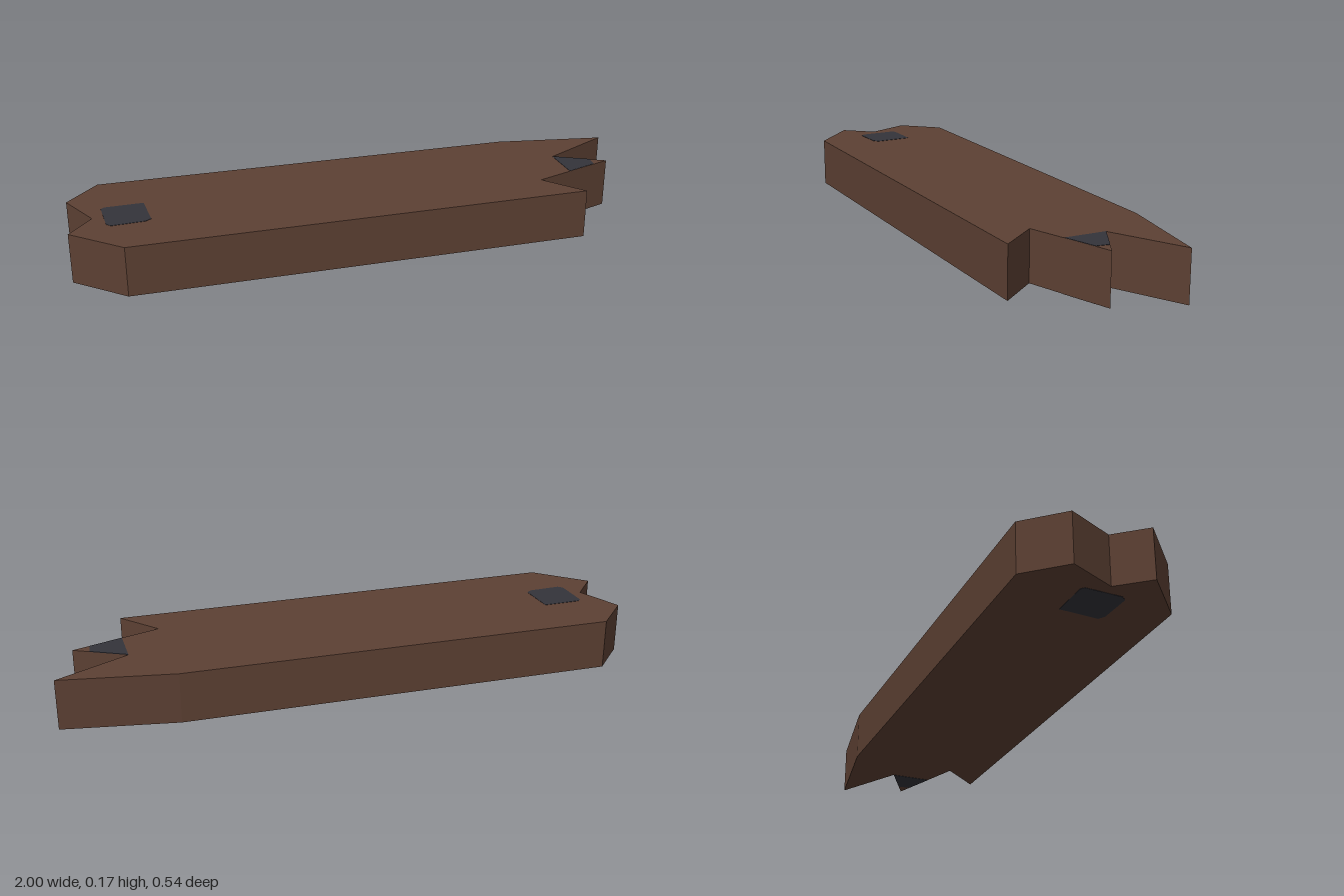
import * as THREE from 'three';

const HEIGHT = 0.172;

// Footprints as [x, z] corners
const OUTLINE = [
  [-0.84, 0.25], [0.73, 0.272], [0.62, 0.138], [0.92, 0.043], [0.75, -0.048], [1, -0.173],
  [0.62, -0.243], [-0.87, -0.272], [-0.985, -0.15], [-0.915, 0.005], [-1, 0.103],
];
const LEFT_NAIL = [
  [-0.862, 0.08], [-0.75, 0.076], [-0.73, 0.063], [-0.737, -0.07], [-0.868, -0.07], [-0.88, -0.06], [-0.876, 0.064],
];
const RIGHT_NAIL = [[0.75, 0.096], [0.862, 0.06], [0.868, 0.015], [0.75, -0.048]];

// Extrudes a footprint upward from the given height
function slab(name, corners, y, thickness, material) {
  const shape = new THREE.Shape(corners.map(([x, z]) => new THREE.Vector2(x, -z)));
  const geometry = new THREE.ExtrudeGeometry(shape, { depth: thickness, bevelEnabled: false });
  geometry.rotateX(-Math.PI / 2);
  geometry.translate(0, y, 0);
  const mesh = new THREE.Mesh(geometry, material);
  mesh.name = name;
  return mesh;
}

export function createModel() {
  const wood = new THREE.MeshStandardMaterial({ name: 'dark wood', color: 0x5c4033 });
  const iron = new THREE.MeshStandardMaterial({ name: 'dark iron', color: 0x33333a });
  const model = new THREE.Group();
  model.name = 'brokenPlank';

  // Plank with splintered ends
  model.add(slab('plank', OUTLINE, 0, HEIGHT, wood));

  // Nail heads showing flush on the top and underside
  const thin = 0.002;
  for (const [name, corners] of [['nailHeadRight', LEFT_NAIL], ['nailHeadLeft', RIGHT_NAIL]]) {
    model.add(slab(name + 'Top', corners, HEIGHT - thin / 2, thin, iron));
    model.add(slab(name + 'Bottom', corners, -thin / 2, thin, iron));
  }
  return model;
}
